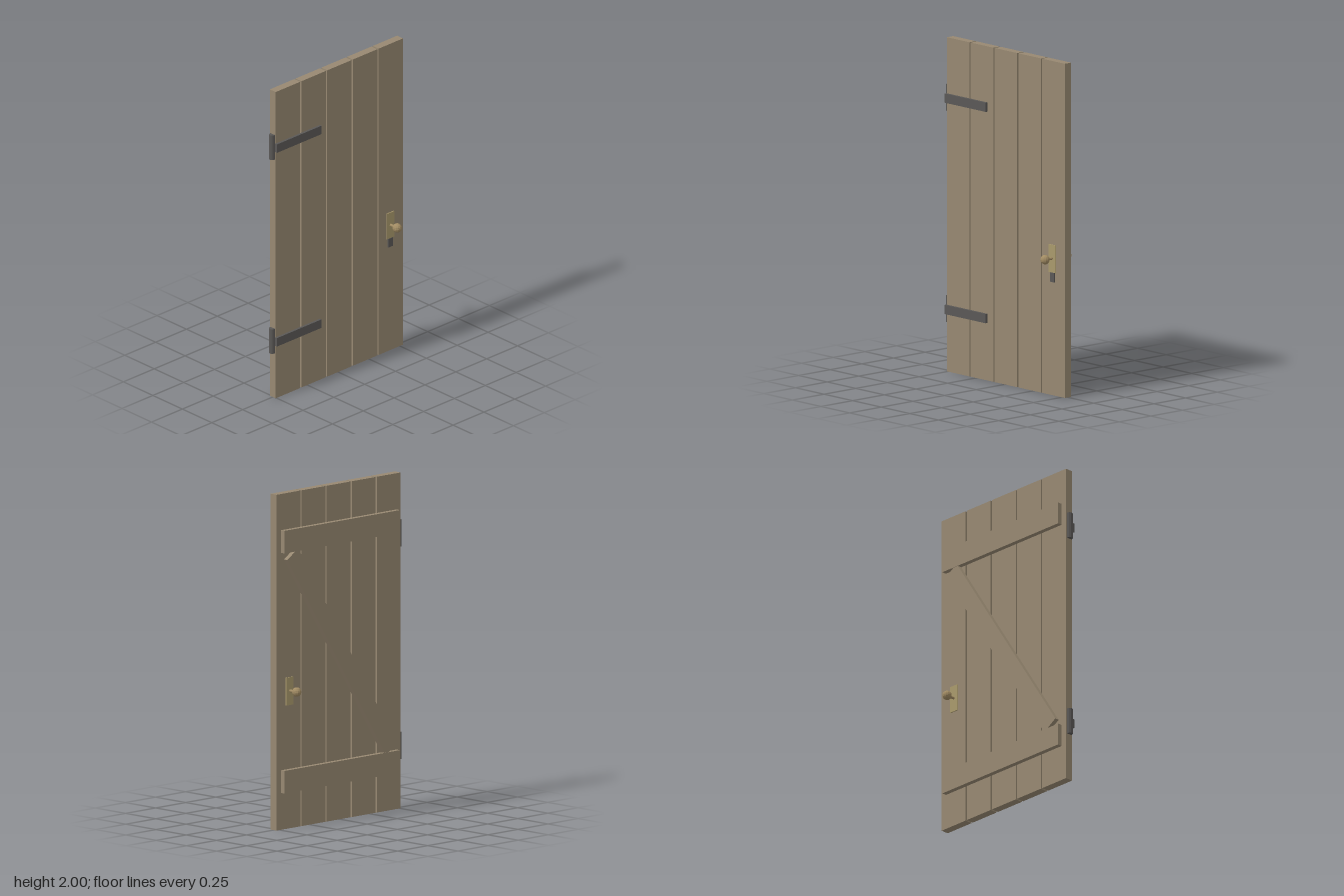
import * as THREE from 'three';

const material = (name, color) => {
  const m = new THREE.MeshStandardMaterial({ color, flatShading: true });
  m.name = name;
  return m;
};

export function createModel() {
  const door = new THREE.Group();
  door.name = 'plankDoor';
  const wood = material('weathered wood', 0x978871);
  const iron = material('dark iron', 0x5a5856);
  const brass = material('pale brass', 0xa9996c);
  const knobBrass = material('aged brass', 0xa18b63);

  const add = (name, geometry, mat, x, y, z) => {
    const mesh = new THREE.Mesh(geometry, mat);
    mesh.name = name;
    mesh.position.set(x, y, z);
    door.add(mesh);
    return mesh;
  };
  const box = (name, mat, w, h, d, x, y, z) =>
    add(name, new THREE.BoxGeometry(w, h, d), mat, x, y, z);

  // Five upright planks with narrow gaps
  for (let i = 0; i < 5; i++) {
    box('plank' + (i + 1), wood, 0.198, 2, 0.05, 0.01 + (i - 2) * 0.2085, 1, 0);
  }

  // Back ledges and the diagonal brace between them
  box('lowerLedge', wood, 0.96, 0.135, 0.03, 0.01, 0.287, -0.04);
  box('upperLedge', wood, 0.96, 0.135, 0.03, 0.01, 1.717, -0.04);
  const brace = box('diagonalBrace', wood, 1.51, 0.108, 0.028, 0.01, 1.002, -0.039);
  brace.rotation.z = Math.atan(1.55);

  // Strap hinges with their pins
  for (const [place, y] of [['lower', 0.372], ['upper', 1.637]]) {
    box(place + 'HingeStrap', iron, 0.36, 0.055, 0.015, -0.33, y, 0.0325);
    add(place + 'HingePin', new THREE.CylinderGeometry(0.019, 0.019, 0.16, 10), iron, -0.511, y, 0);
  }

  // Handle plate, stem and round knob on both sides
  for (const [place, s] of [['front', 1], ['back', -1]]) {
    box(place + 'HandlePlate', brass, 0.06, 0.166, 0.006, 0.42, 0.818, s * 0.028);
    const stem = add(place + 'KnobStem', new THREE.CylinderGeometry(0.008, 0.008, 0.06, 8),
      knobBrass, 0.42, 0.82, s * 0.055);
    stem.rotation.x = Math.PI / 2;
    add(place + 'Knob', new THREE.SphereGeometry(0.028, 12, 8), knobBrass, 0.42, 0.82, s * 0.086);
  }

  // Keyhole cover below the front plate
  box('keyholeCover', iron, 0.038, 0.056, 0.006, 0.42, 0.706, 0.028);

  return door;
}
